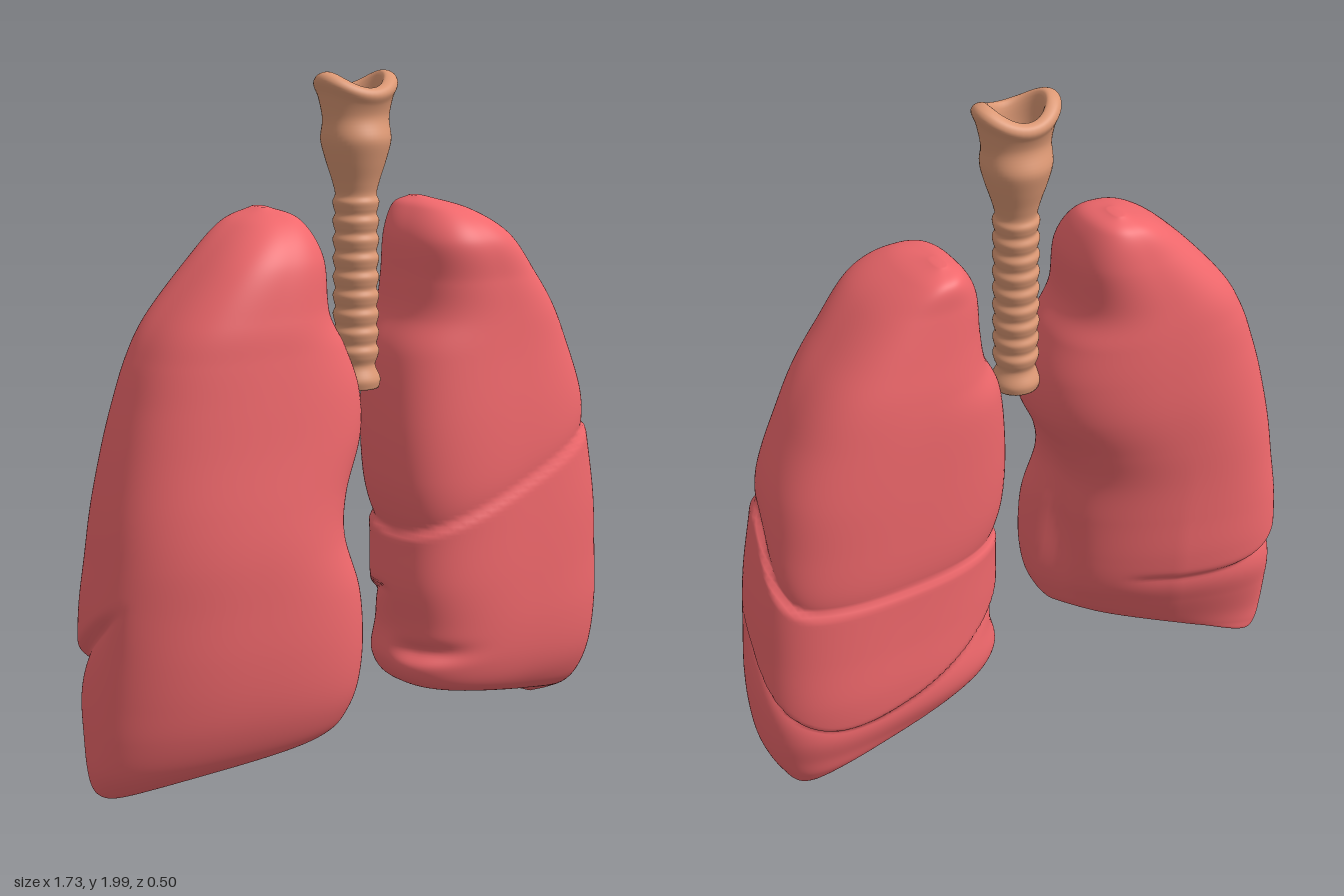
import * as THREE from 'three';

const lungMat = new THREE.MeshStandardMaterial({ color: 0xf0686c });
const tracheaMat = new THREE.MeshStandardMaterial({ color: 0xdc9874 });
const { smoothstep, lerp } = THREE.MathUtils;

// Closed skin through rings of points; flip for rings that climb or are mirrored
function skin(rings, segs, point, flip) {
  const pos = [], index = [];
  for (let i = 0; i < rings; i++) {
    for (let j = 0; j < segs; j++) pos.push(...point(i / (rings - 1), (j / segs) * Math.PI * 2));
  }
  const tri = (a, b, c) => (flip ? index.push(a, c, b) : index.push(a, b, c));
  for (let i = 0; i < rings - 1; i++) {
    for (let j = 0; j < segs; j++) {
      const k = (j + 1) % segs;
      const a = i * segs + j, b = i * segs + k, c = a + segs, d = b + segs;
      tri(a, b, c);
      tri(b, d, c);
    }
  }
  // Centre points close both ends
  for (const r of [0, rings - 1]) {
    const mid = [0, 0, 0];
    for (let j = 0; j < segs; j++) for (let n = 0; n < 3; n++) mid[n] += pos[(r * segs + j) * 3 + n] / segs;
    const m = pos.length / 3;
    pos.push(...mid);
    for (let j = 0; j < segs; j++) {
      const a = r * segs + j, b = r * segs + (j + 1) % segs;
      r === 0 ? tri(m, b, a) : tri(m, a, b);
    }
  }
  const g = new THREE.BufferGeometry();
  g.setAttribute('position', new THREE.Float32BufferAttribute(pos, 3));
  g.setIndex(index);
  g.computeVertexNormals();
  return g;
}

// Sections run from apex to base: inner x, inner y, outer x, outer y, front z, back z, backward lean of outer side
function lung(name, side, rows, carve) {
  const curve = (f) => new THREE.CatmullRomCurve3(rows.map((r) => new THREE.Vector3(...f(r))), false, 'catmullrom', 0.5);
  const inner = curve((r) => [r[0], r[1], 0]);
  const outer = curve((r) => [r[2], r[3], 0]);
  const depth = curve((r) => [r[4], r[5], r[6]]);
  const n = 2.6;
  const geo = skin(200, 112, (t, a) => {
    const p = inner.getPoint(t), q = outer.getPoint(t), d = depth.getPoint(t);
    const c = Math.cos(a), s = Math.sin(a);
    const rad = Math.pow(Math.abs(c) ** n + Math.abs(s) ** n, -1 / n);
    const at = (k) => {
      const u = k * c * rad, v = k * s * rad;
      return [
        (p.x + q.x) / 2 + (u * (q.x - p.x)) / 2,
        (p.y + q.y) / 2 + (u * (q.y - p.y)) / 2,
        (d.x + d.y) / 2 + (v * (d.x - d.y)) / 2 - d.z * u,
      ];
    };
    const [x, y, z] = at(1 - carve(...at(1), c, s));
    return [side * x, y, z];
  }, side < 0);
  const mesh = new THREE.Mesh(geo, lungMat);
  mesh.name = name;
  return mesh;
}

// Lobe edge: soft roll on the positive side, sharp step on the negative side
const crease = (f) => (f > 0 ? Math.exp(-f / 0.05) : Math.exp(-((f / 0.014) ** 2)));
const bump = (v, w) => Math.exp(-((v / w) ** 2));

const leftRows = [
  [0.25, 1.627, 0.28, 1.627, -0.06, -0.12, 0],
  [0.2, 1.6, 0.36, 1.595, 0.1, -0.18, 0],
  [0.15, 1.52, 0.46, 1.525, 0.19, -0.195, 0],
  [0.14, 1.4, 0.57, 1.4, 0.2, -0.215, 0],
  [0.125, 1.3, 0.645, 1.3, 0.205, -0.23, 0],
  [0.075, 1.19, 0.705, 1.19, 0.212, -0.238, 0.005],
  [0.05, 1.0, 0.775, 1.03, 0.225, -0.24, 0.015],
  [0.05, 0.83, 0.81, 0.86, 0.232, -0.238, 0.02],
  [0.07, 0.67, 0.84, 0.69, 0.235, -0.236, 0.025],
  [0.07, 0.51, 0.855, 0.52, 0.235, -0.237, 0.03],
  [0.09, 0.37, 0.865, 0.36, 0.228, -0.242, 0.03],
  [0.075, 0.27, 0.86, 0.23, 0.212, -0.23, 0.03],
  [0.12, 0.2, 0.845, 0.14, 0.18, -0.2, 0.035],
  [0.25, 0.165, 0.815, 0.075, 0.13, -0.18, 0.035],
  [0.43, 0.135, 0.775, 0.03, 0.04, -0.14, 0.03],
  [0.6, 0.065, 0.7, 0.025, -0.03, -0.08, 0],
];

const rightRows = [
  [0.27, 1.632, 0.3, 1.632, -0.06, -0.12, 0],
  [0.21, 1.6, 0.4, 1.59, 0.06, -0.18, 0],
  [0.165, 1.5, 0.51, 1.5, 0.14, -0.21, 0],
  [0.16, 1.35, 0.645, 1.35, 0.17, -0.23, 0.015],
  [0.11, 1.25, 0.71, 1.24, 0.18, -0.237, 0.022],
  [0.07, 1.13, 0.755, 1.12, 0.19, -0.238, 0.03],
  [0.075, 1.0, 0.79, 1.0, 0.198, -0.235, 0.04],
  [0.14, 0.85, 0.825, 0.84, 0.207, -0.225, 0.055],
  [0.16, 0.73, 0.845, 0.7, 0.213, -0.215, 0.07],
  [0.125, 0.58, 0.862, 0.56, 0.215, -0.205, 0.09],
  [0.12, 0.43, 0.866, 0.43, 0.213, -0.2, 0.1],
  [0.135, 0.31, 0.868, 0.31, 0.2, -0.185, 0.105],
  [0.165, 0.23, 0.866, 0.2, 0.175, -0.15, 0.105],
  [0.21, 0.17, 0.86, 0.1, 0.135, -0.12, 0.105],
  [0.3, 0.135, 0.84, 0.035, 0.08, -0.11, 0.1],
  [0.5, 0.1, 0.81, 0.005, 0.0, -0.13, 0.06],
  [0.66, 0.05, 0.76, 0.01, -0.08, -0.14, 0.01],
];

// Windpipe outline: radius, height
function trachea() {
  const pts = [[0.066, 1.105], [0.07, 1.13], [0.055, 1.17]];
  for (let i = 0; i < 9; i++) {
    const y = 1.195 + i * 0.053;
    pts.push([0.063, y], [0.066, y + 0.018], [0.059, y + 0.036]);
  }
  pts.push([0.066, 1.69], [0.085, 1.75], [0.1, 1.81], [0.1, 1.87], [0.112, 1.92], [0.126, 1.955]);
  // Rim and inside of the tube
  pts.push([0.115, 1.972], [0.085, 1.974], [0.07, 1.9], [0.058, 1.8], [0.05, 1.3]);
  const path = new THREE.CatmullRomCurve3(pts.map(([r, y]) => new THREE.Vector3(r, y, 0)));
  const geo = skin(220, 48, (t, a) => {
    const p = path.getPoint(t);
    // Upper part is oval, with raised sides
    const oval = smoothstep(p.y, 1.8, 1.88), lift = smoothstep(p.y, 1.87, 1.96);
    return [
      p.x * Math.cos(a) - 0.022,
      p.y + lift * 0.022 * Math.cos(2 * a),
      p.x * Math.sin(a) * (1 - 0.2 * oval),
    ];
  }, true);
  const mesh = new THREE.Mesh(geo, tracheaMat);
  mesh.name = 'trachea';
  return mesh;
}

export function createModel() {
  const model = new THREE.Group();
  model.name = 'lungs';

  const left = lung('leftLung', 1, leftRows, (x, y, z) => {
    // Upper lobe line slopes on the front and levels out on the back
    const upper = 0.05 * crease(y - lerp(0.7, 0.65 + 0.36 * x, smoothstep(z, -0.22, 0.06)));
    // Middle lobe overhangs the lower one on the side and back
    const back = 1 - smoothstep(z, -0.06, 0.06);
    const edge = 0.25 + 0.6 * (x - 0.7) ** 2 + 1.1 * (z + 0.24) * smoothstep(x, 0.45, 0.8);
    const notch = 0.07 * bump(y - 0.31, 0.03) * bump(x - 0.1, 0.12) * smoothstep(z, 0, 0.12);
    return upper + 0.06 * back * crease(edge - y) + notch;
  });

  const right = lung('rightLung', -1, rightRows, (x, y, z, c, s) => {
    // Hollow on the side facing the heart, with its back corner cut away
    const hollow = c < 0 ? 0.18 * bump(z - 0.05, 0.08) * bump(y - 0.5, 0.28) * c * c : 0;
    const corner = c < 0 && s < 0 ? 0.3 * c * s * (1 - smoothstep(y, 0.4, 0.95)) : 0;
    // Ridge above the tip, rising round the back to the outer side
    const f = 0.27 + 0.2 * (x - 0.4) + 0.8 * (z + 0.24) - y;
    const ridge = 0.09 * (1 - smoothstep(z, -0.06, 0.06)) * smoothstep(x, 0.3, 0.5) * crease(f * 0.6);
    return hollow + corner + ridge;
  });

  model.add(left, right, trachea());
  return model;
}
